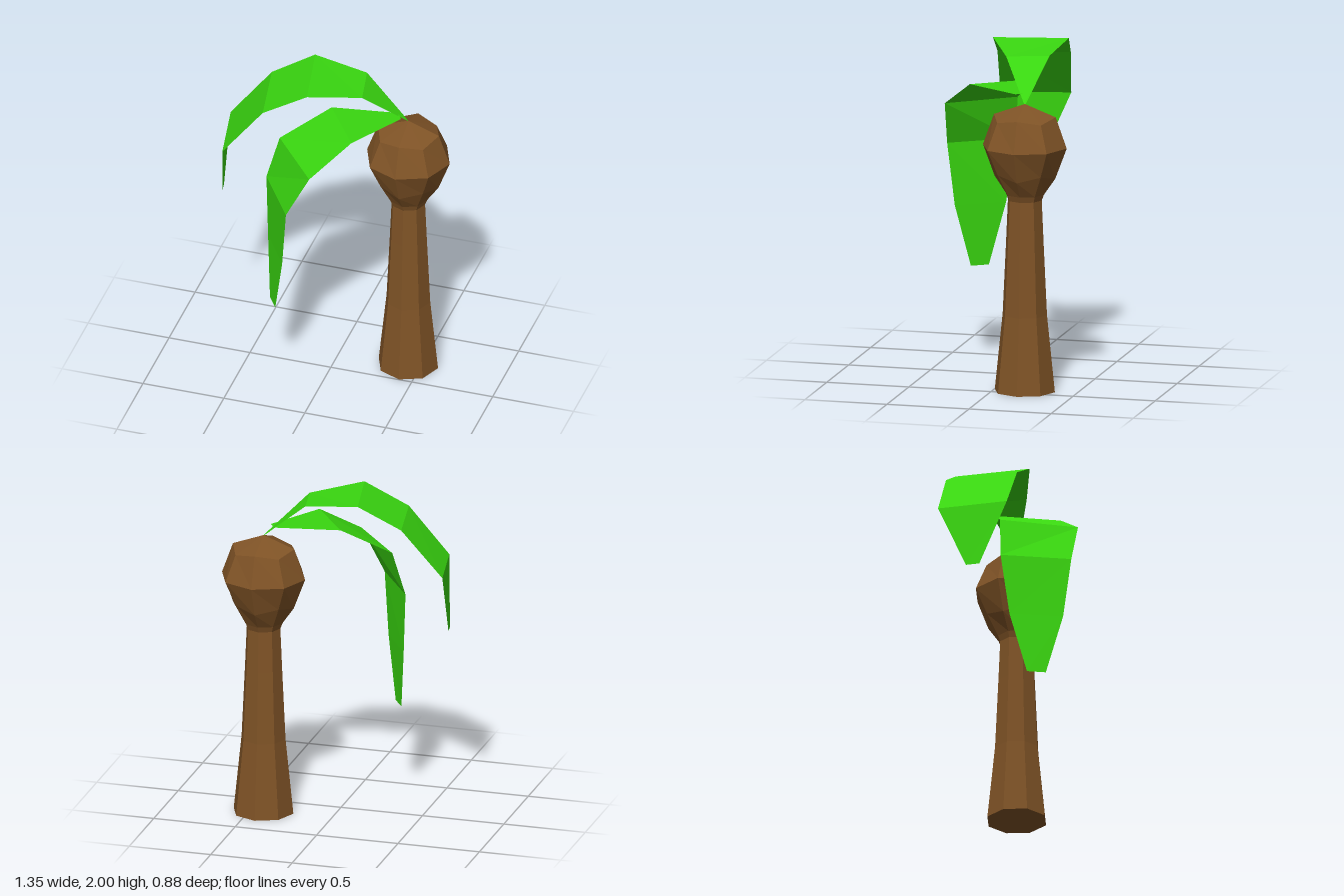
import * as THREE from 'three';

const SIDES = 8;

// Eight-sided turned form; each ring is [radius, y, y offset of the diagonal corners]
function turned(name, rings, material) {
  const lathe = new THREE.LatheGeometry(rings.map(([r, y]) => new THREE.Vector2(r, y)), SIDES);
  const pos = lathe.attributes.position;
  for (let i = 0; i <= SIDES; i++) {
    if (i % 2 === 0) continue;
    rings.forEach(([, y, drop = 0], j) => pos.setY(i * rings.length + j, y + drop));
  }
  const geometry = lathe.toNonIndexed();
  geometry.computeVertexNormals();
  const mesh = new THREE.Mesh(geometry, material);
  mesh.name = name;
  return mesh;
}

// Thin leaf strip from cross-sections, each [back corner, front corner]
function frond(name, sections, material) {
  const vertices = [];
  for (let i = 0; i < sections.length - 1; i++) {
    const [a, b] = sections[i];
    const [c, d] = sections[i + 1];
    vertices.push(...a, ...c, ...b, ...b, ...c, ...d);
  }
  const geometry = new THREE.BufferGeometry();
  geometry.setAttribute('position', new THREE.Float32BufferAttribute(vertices, 3));
  geometry.computeVertexNormals();
  const mesh = new THREE.Mesh(geometry, material);
  mesh.name = name;
  return mesh;
}

export function createModel() {
  const bark = new THREE.MeshStandardMaterial({ color: 0x7f5326, flatShading: true });
  bark.name = 'bark brown';
  const leaf = new THREE.MeshStandardMaterial({ color: 0x39d610, flatShading: true, side: THREE.DoubleSide });
  leaf.name = 'leaf green';

  const model = new THREE.Group();
  model.name = 'palmTree';

  // Tapered trunk with a closed foot, and the faceted crown on top
  const stem = new THREE.Group();
  stem.name = 'stem';
  stem.position.set(0.42, 0, -0.185);
  stem.add(
    turned('trunk', [[0, 0], [0.183, 0], [0.135, 0.46], [0.114, 0.9], [0.103, 1.15]], bark),
    turned('crown', [
      [0.103, 1.15], [0.116, 1.185], [0.185, 1.285, 0.03],
      [0.255, 1.47], [0.188, 1.655, -0.025], [0, 1.725],
    ], bark),
  );
  model.add(stem);

  // Upper frond arches sideways from the very top
  model.add(frond('upperFrond', [
    [[0.415, 1.725, -0.19], [0.42, 1.725, -0.18]],
    [[0.14, 1.96, -0.26], [0.19, 1.953, -0.01]],
    [[-0.19, 2.0, -0.29], [-0.1, 2.0, 0.148]],
    [[-0.44, 1.86, -0.235], [-0.36, 1.86, 0.19]],
    [[-0.675, 1.565, -0.175], [-0.595, 1.565, 0.235]],
    [[-0.66, 1.17, 0.0], [-0.645, 1.17, 0.08]],
  ], leaf));

  // Lower frond droops diagonally towards the front
  model.add(frond('lowerFrond', [
    [[0.36, 1.774, -0.175], [0.395, 1.774, -0.12]],
    [[-0.03, 1.775, -0.11], [0.195, 1.775, 0.21]],
    [[-0.3, 1.605, 0.05], [0, 1.608, 0.415]],
    [[-0.37, 1.34, 0.087], [-0.137, 1.34, 0.437]],
    [[-0.345, 0.96, 0.133], [-0.172, 0.96, 0.4]],
    [[-0.303, 0.585, 0.227], [-0.24, 0.585, 0.32]],
  ], leaf));

  return model;
}
